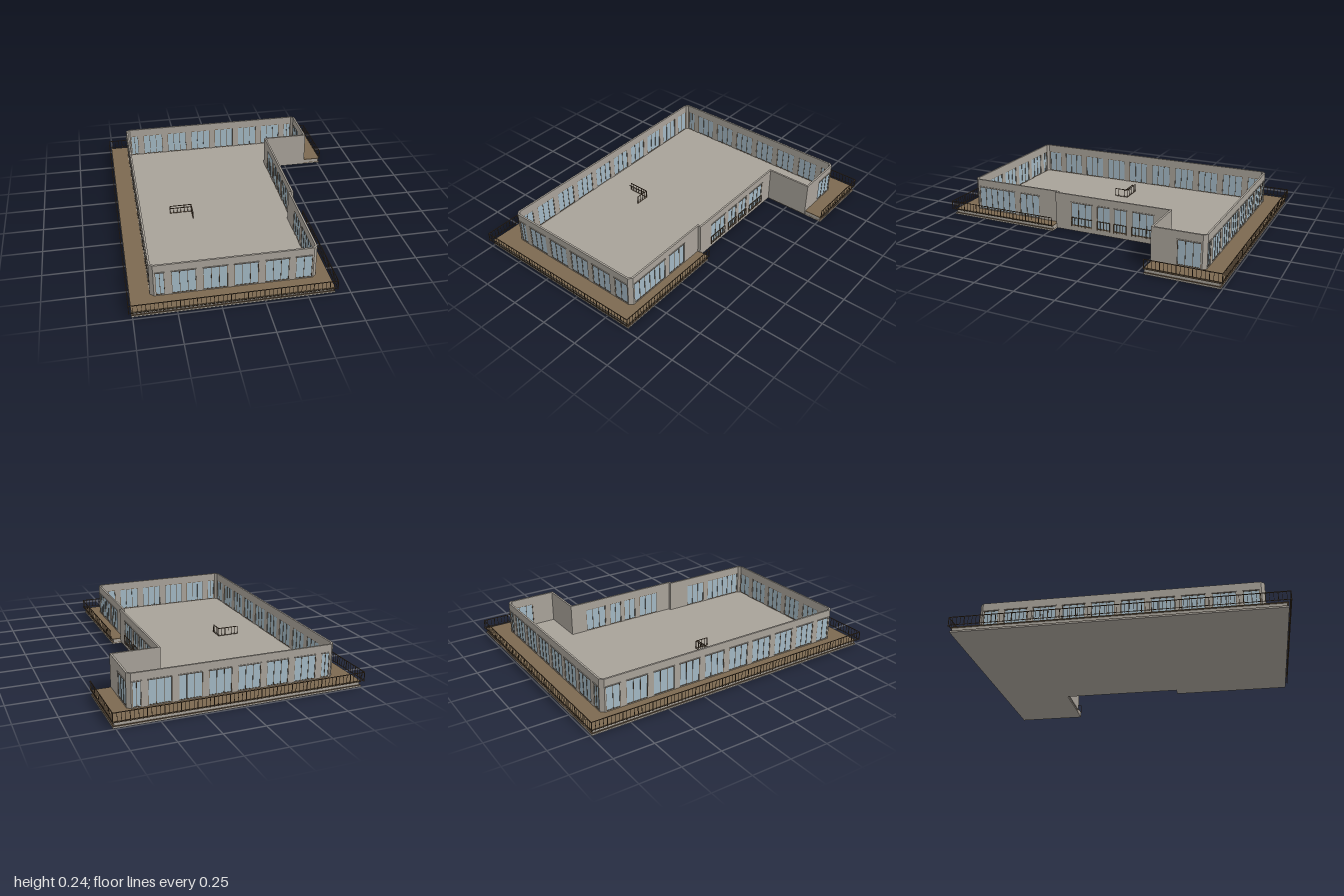
import * as THREE from 'three';
import { mergeGeometries } from 'three/addons/utils/BufferGeometryUtils.js';

const mat = (name, color) => Object.assign(new THREE.MeshStandardMaterial({ color }), { name });
const concrete = mat('concrete', 0xa8a299);
const timber = mat('deck timber', 0x7c6950);
const glass = mat('window glass', 0xa2b7c3);
const bronze = mat('bronze metal', 0x5c4a36);

const DECK = 0.036, TOP = 0.243, T = 0.012, HEAD = 0.19, RAIL = 0.095;

const box = (x0, x1, y0, y1, z0, z1) =>
  new THREE.BoxGeometry(x1 - x0, y1 - y0, z1 - z0).translate((x0 + x1) / 2, (y0 + y1) / 2, (z0 + z1) / 2);

function addMesh(parent, name, geometry, material) {
  const mesh = new THREE.Mesh(geometry, material);
  mesh.name = name;
  parent.add(mesh);
}

// Horizontal plate with an [x, z] outline
function plate(points, y0, y1) {
  const shape = new THREE.Shape(points.map(([x, z]) => new THREE.Vector2(x, -z)));
  return new THREE.ExtrudeGeometry(shape, { depth: y1 - y0, bevelEnabled: false }).rotateX(-Math.PI / 2).translate(0, y0, 0);
}

// Places a group so that local +x runs from a to b and local +z faces outside
function runGroup(name, a, b) {
  const group = new THREE.Group();
  group.name = name;
  group.position.set(a[0], 0, a[1]);
  group.rotation.y = Math.atan2(a[1] - b[1], b[0] - a[0]);
  return group;
}
const distance = (a, b) => Math.hypot(b[0] - a[0], b[1] - a[1]);

// Rail with evenly spaced balusters along local x
function railParts(x0, x1, z, step = 0.024) {
  const parts = [box(x0, x1, RAIL - 0.004, RAIL, z - 0.002, z + 0.002),
    box(x0, x1, DECK + 0.004, DECK + 0.007, z - 0.0015, z + 0.0015)];
  const n = Math.max(1, Math.round((x1 - x0) / step));
  for (let i = 0; i <= n; i++) {
    const x = x0 + (x1 - x0) * i / n, w = i % 4 ? 0.0011 : 0.002;
    parts.push(box(x - w, x + w, DECK - 0.002, RAIL - 0.002, z - w, z + w));
  }
  return parts;
}

function railing(root, name, a, b) {
  const group = runGroup(name, a, b);
  addMesh(group, 'rail and balusters', mergeGeometries(railParts(0, distance(a, b), 0)), bronze);
  root.add(group);
}

// Wall with tall glazed openings, given as [from, to] distances along it
function wall(root, name, a, b, openings = [], guarded = false) {
  const group = runGroup(name, a, b), length = distance(a, b), sill = 0.04;
  const shape = new THREE.Shape([[0, 0.011], [length, 0.011], [length, TOP], [0, TOP]].map(p => new THREE.Vector2(...p)));
  const panes = [], frames = [], hoods = [];
  for (const [s, e] of openings) {
    shape.holes.push(new THREE.Path([[s, sill], [s, HEAD], [e, HEAD], [e, sill]].map(p => new THREE.Vector2(...p))));
    panes.push(box(s, e, sill, HEAD, -0.008, -0.004));
    const f = 0.003, width = e - s, bays = Math.max(2, Math.round(width / 0.047));
    for (let i = 0; i <= bays; i++) {
      const x = s + f / 2 + (width - f) * i / bays;
      frames.push(box(x - f / 2, x + f / 2, sill, HEAD, -0.01, -0.002));
    }
    frames.push(box(s, e, HEAD - f, HEAD, -0.01, -0.002), box(s, e, sill, sill + f, -0.01, -0.002));
    hoods.push(box(s - 0.003, e + 0.003, HEAD, HEAD + 0.006, -0.001, 0.004));
    if (guarded) frames.push(...railParts(s, e, 0.004));
  }
  addMesh(group, 'wall panel', new THREE.ExtrudeGeometry(shape, { depth: T, bevelEnabled: false }).translate(0, 0, -T), concrete);
  if (panes.length) {
    addMesh(group, 'window panes', mergeGeometries(panes), glass);
    addMesh(group, 'window frames', mergeGeometries(frames), bronze);
    addMesh(group, 'window hoods', mergeGeometries(hoods), concrete);
  }
  root.add(group);
}

// Openings between pillars 0.18 apart, as world coordinates within two limits
function bays(firstPillar, low, high) {
  const list = [];
  for (let p = firstPillar; p < high; p += 0.18) {
    const s = Math.max(low, p + 0.02), e = Math.min(high, p + 0.16);
    if (e - s > 0.03) list.push([s, e]);
  }
  return list;
}
const along = (start, list) => list.map(([p, q]) => [Math.abs(p - start), Math.abs(q - start)].sort((m, n) => m - n));

export function createModel() {
  const root = new THREE.Group();
  root.name = 'singleStoreyBuilding';

  // Base, deck and inner floor
  const outline = (m) => [[-0.757 + m, 0.982 - m], [0.411 - m, 0.982 - m], [0.411 - m, 0.233], [0.345, 0.233],
    [0.345, -0.543], [0.765 - m, -0.543], [0.765 - m, -0.992 + m], [-0.757 + m, -0.992 + m]];
  addMesh(root, 'baseSlab', plate(outline(0), 0, 0.009), concrete);
  addMesh(root, 'baseEdge', plate(outline(0.002), 0.009, 0.012), bronze);
  addMesh(root, 'upperSlab', plate(outline(0.009), 0.012, 0.031), concrete);
  addMesh(root, 'deck', plate(outline(0.001), 0.031, DECK), timber);

  const L = -0.64, F = 0.863, B = -0.866, R = 0.332, M = 0.352, W = 0.645, N = -0.535, c = 0.022;
  addMesh(root, 'innerFloor', plate([[L + 0.006, F - c], [L + c, F - 0.006], [R - c, F - 0.006], [R - 0.006, F - c],
    [R - 0.006, 0.235], [M - 0.006, 0.235], [M - 0.006, N - 0.006], [W - 0.006, N - 0.006], [W - 0.006, B + c],
    [W - c, B + 0.006], [L + c, B + 0.006], [L + 0.006, B + c]], DECK - 0.003, DECK + 0.003), concrete);

  // Outer walls, running front, right side, back, left side
  wall(root, 'frontWall', [L + c, F], [R - c, F], along(L + c, bays(-0.715, -0.607, 0.303)));
  wall(root, 'frontRightCorner', [R - c, F], [R, F - c]);
  wall(root, 'frontSideWall', [R, F - c], [R, 0.238], along(F - c, [[0.556, 0.83], [0.373, 0.517]]));
  wall(root, 'stepWall', [R - T, 0.238], [M, 0.238]);
  wall(root, 'courtWall', [M, 0.238], [M, N],
    along(0.238, [[-0.019, 0.126], [-0.142, -0.056], [-0.255, -0.17], [-0.437, -0.292]]), true);
  wall(root, 'wingFrontWall', [M - T, N], [W, N]);
  wall(root, 'wingSideWall', [W, N], [W, B + c], along(N, [[-0.835, -0.694]]));
  wall(root, 'backRightCorner', [W, B + c], [W - c, B]);
  wall(root, 'backWall', [W - c, B], [L + c, B], along(W - c, bays(-0.715, -0.607, 0.615)));
  wall(root, 'backLeftCorner', [L + c, B], [L, B + c]);
  wall(root, 'leftWall', [L, B + c], [L, F - c], along(B + c, bays(-0.905, -0.835, 0.83)));
  wall(root, 'frontLeftCorner', [L, F - c], [L + c, F]);

  // Railings around the deck edge
  const x0 = -0.77, x1 = 0.42, x2 = 0.766, z0 = -0.998, z1 = 0.998;
  railing(root, 'frontRailing', [x0, z1], [x1, z1]);
  railing(root, 'frontSideRailing', [x1, z1], [x1, 0.235]);
  railing(root, 'wingRailing', [x2, -0.543], [x2, z0]);
  railing(root, 'backRailing', [x2, z0], [x0, z0]);
  railing(root, 'leftRailing', [x0, z0], [x0, z1]);

  // Stair guard in the middle of the floor
  railing(root, 'stairGuardBack', [-0.425, 0.022], [-0.285, 0.022]);
  railing(root, 'stairGuardSide', [-0.285, 0.022], [-0.285, 0.11]);
  addMesh(root, 'stairHandrail', box(-0.425, -0.285, 0.085, 0.089, 0.038, 0.042), bronze);
  return root;
}
